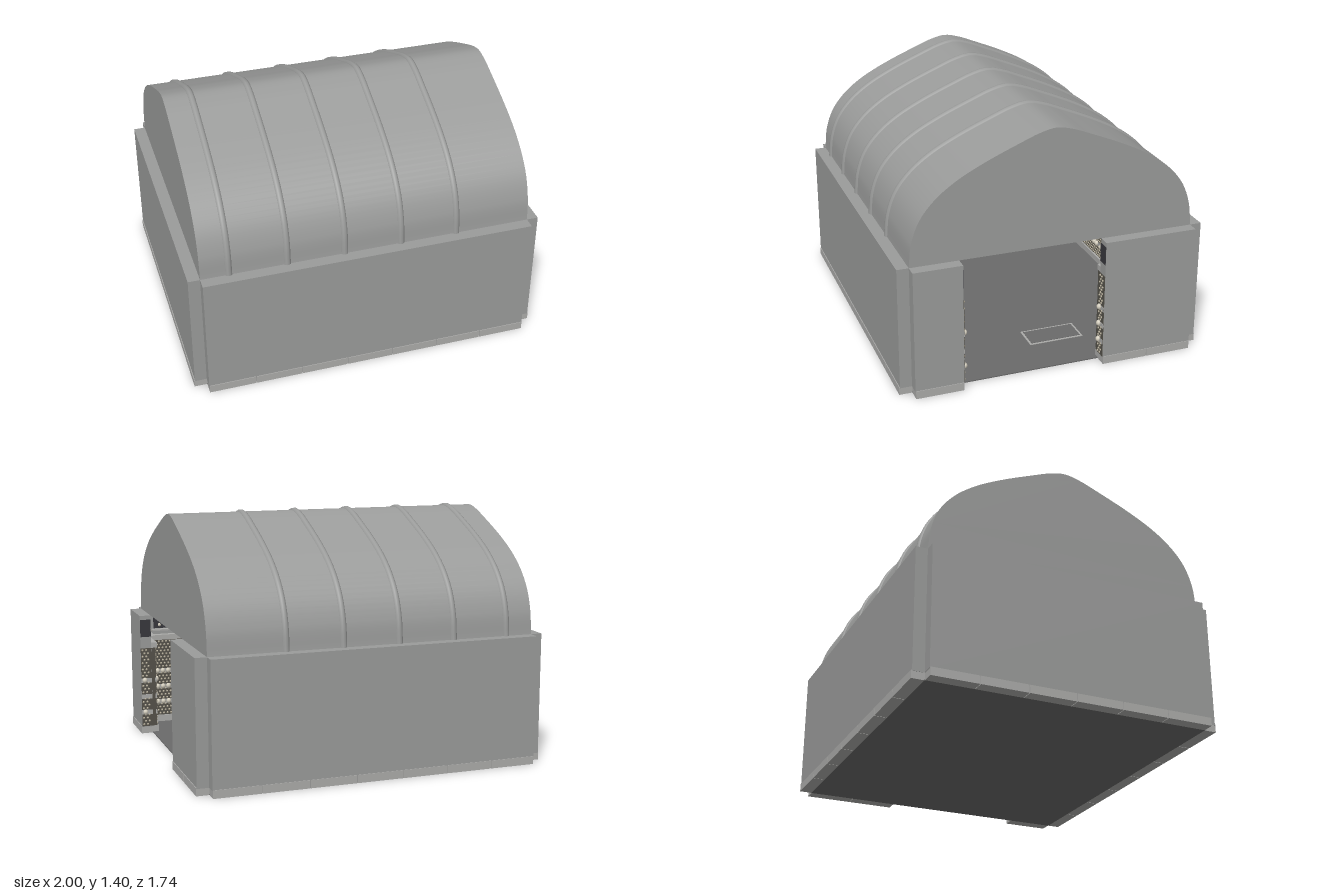
import * as THREE from 'three';
import { mergeGeometries } from 'three/addons/utils/BufferGeometryUtils.js';
import { ParametricGeometry } from 'three/addons/geometries/ParametricGeometry.js';

const mat = (color, side = THREE.FrontSide) => new THREE.MeshStandardMaterial({ color, side });
const GREY = mat(0x9b9c9b), SHEET = mat(0x9b9c9b, THREE.DoubleSide), STONE = mat(0xacacaa);
const FLOOR = mat(0x6a6a6a), PANEL = mat(0x55524a), NICHE = mat(0x38383d);
const BONE = mat(0xb8b09c), SKULL = mat(0xd8d2c2);

const L = 0.93, W = 0.8, T = 0.066, H = 0.73; // half length, half width, wall thickness, wall height
const DOOR = [-0.27, 0.53];

let seed = 7;
const rand = () => (seed = (seed * 16807) % 2147483647) / 2147483647;

function add(parent, name, geometry, material, x = 0, y = 0, z = 0) {
  const mesh = new THREE.Mesh(geometry, material);
  mesh.name = name;
  mesh.position.set(x, y, z);
  parent.add(mesh);
  return mesh;
}

// Box given by its limits on each axis
function slab(parent, name, material, [x0, x1], [y0, y1], [z0, z1]) {
  return add(parent, name, new THREE.BoxGeometry(x1 - x0, y1 - y0, z1 - z0), material,
    (x0 + x1) / 2, (y0 + y1) / 2, (z0 + z1) / 2);
}

function place(parent, group, name, x, z, turn) {
  group.name = name;
  group.position.set(x, 0, z);
  group.rotation.y = turn;
  parent.add(group);
}

// Vault cross-section, from +z over the ridge to -z
function vaultCurve(scaleZ = 1, drop = 0) {
  const half = [[0.8, H], [0.785, 0.86], [0.74, 0.98], [0.66, 1.08], [0.55, 1.165], [0.4, 1.245], [0.2, 1.33], [0.09, 1.372]];
  const pts = [...half, [0, 1.39], ...half.slice().reverse().map(([z, y]) => [-z, y])];
  return new THREE.CatmullRomCurve3(pts.map(([z, y]) => new THREE.Vector3(0, y - drop, z * scaleZ)), false, 'centripetal');
}

// Panel of bone ends and skulls, facing +z between u0 and u1
function boneFacing(u0, u1, rosetteAt, nicheAt) {
  const g = new THREE.Group();
  slab(g, 'bonePanel', PANEL, [u0, u1], [0.045, 0.53], [0, 0.026]);

  const bones = [], skulls = [];
  const bone = new THREE.SphereGeometry(0.0075, 5, 2, 0, Math.PI * 2, 0, Math.PI / 2).rotateX(Math.PI / 2);
  const skull = new THREE.SphereGeometry(1, 7, 5);
  const addSkull = (u, y, r = 0.0155, z = 0.032) => {
    if (u > u0 + r && u < u1 - r) skulls.push(skull.clone().scale(r, r * 1.1, r).translate(u, y, z));
  };

  // Staggered rows of bone ends, leaving room around the rosettes
  for (const [y0, rows] of [[0.058, 4], [0.158, 4], [0.258, 4], [0.36, 9]]) {
    for (let r = 0; r < rows; r++) {
      const y = y0 + r * 0.0198;
      for (let u = u0 + 0.01 + (r % 2) * 0.0115; u < u1 - 0.008; u += 0.023) {
        if (y0 > 0.3 && rosetteAt.some((c) => Math.abs(u - c) < 0.095)) continue;
        bones.push(bone.clone().translate(u, y, 0.026));
      }
    }
  }

  // Rows of skulls on pale strips, with a few missing
  for (const y of [0.135, 0.233, 0.333]) {
    slab(g, 'skullShelf', STONE, [u0, u1], [y - 0.016, y + 0.012], [0.02, 0.028]);
    for (let u = u0 + 0.02; u < u1; u += 0.034) if (rand() > 0.16) addSkull(u, y);
  }

  // Rosettes of skulls
  for (const c of rosetteAt) {
    addSkull(c, 0.44, 0.0125);
    for (let i = 0; i < 8; i++) {
      const a = (i * Math.PI) / 4;
      addSkull(c + Math.cos(a) * 0.055, 0.44 + Math.sin(a) * 0.055, 0.0115);
    }
  }

  // Dark niches with a sill and three skulls each
  for (const c of nicheAt) {
    slab(g, 'niche', NICHE, [c - 0.08, c + 0.08], [0.6, 0.705], [0, 0.004]);
    slab(g, 'nicheSill', STONE, [c - 0.093, c + 0.093], [0.588, 0.597], [0, 0.036]);
    for (const d of [-0.045, 0, 0.045]) addSkull(c + d, 0.623, 0.01, 0.014);
  }
  add(g, 'boneEnds', mergeGeometries(bones), BONE);
  if (skulls.length) add(g, 'skulls', mergeGeometries(skulls), SKULL);
  return g;
}

// One wall length: wall, plinth stones, cornice and bone facing; inside is +z
function wallLength(u0, u1, stones, nicheAt, rosetteAt) {
  const g = boneFacing(u0, u1, rosetteAt, nicheAt);
  slab(g, 'wall', GREY, [u0, u1], [0.04, H], [-T, 0]);
  slab(g, 'cornice', STONE, [u0, u1], [0.53, 0.562], [0, 0.036]);
  const step = (u1 - u0) / stones;
  for (let i = 0; i < stones; i++) {
    const span = [u0 + i * step + 0.002, u0 + (i + 1) * step - 0.002];
    slab(g, 'plinthStone', STONE, span, [0, 0.045], [-T - 0.004, 0]);
    slab(g, 'innerCurb', STONE, span, [0.005, 0.046], [0, 0.036]);
  }
  return g;
}

export function createModel() {
  const model = new THREE.Group();
  model.name = 'ossuaryChapel';

  // Floor with a framed grave slab
  slab(model, 'floor', FLOOR, [-L, L], [0, 0.006], [-W, W]);
  slab(model, 'graveFrame', STONE, [0.52, 0.68], [0.006, 0.009], [-0.29, 0.03]);
  slab(model, 'graveSlab', FLOOR, [0.532, 0.668], [0.009, 0.011], [-0.278, 0.018]);

  // Long walls
  const longNiches = [-2.5, -1.5, -0.5, 0.5, 1.5, 2.5].map((i) => i * 0.31);
  for (const [name, z, turn] of [['backWall', -W, 0], ['frontWall', W, Math.PI]]) {
    place(model, wallLength(-L, L, 7, longNiches, [-0.53, 0, 0.53]), name, 0, z, turn);
  }

  // End walls; the left end is split by the doorway
  const ends = [
    ['rightEndWall', -L, Math.PI / 2, -W, W, 6, [-0.475, -0.16, 0.16, 0.475], [-0.53, 0, 0.53]],
    ['doorWallBack', L, -Math.PI / 2, -W, DOOR[0], 2, [-0.475], [-0.53]],
    ['doorWallFront', L, -Math.PI / 2, DOOR[1], W, 1, [0.66], []],
  ];
  for (const [name, x, turn, u0, u1, stones, niches, rosettes] of ends) {
    place(model, wallLength(u0, u1, stones, niches, rosettes), name, x, 0, turn);
  }

  // Bone facing sunk into both door jambs, with a dark recess above
  for (const [z, dir, turn] of [[DOOR[0], 1, 0], [DOOR[1], -1, Math.PI]]) {
    const jamb = boneFacing(-0.032, 0.032, [], []);
    slab(jamb, 'jambRecess', NICHE, [-0.032, 0.032], [0.6, 0.705], [0, 0.026]);
    place(model, jamb, 'doorJamb', L + T / 2, z - dir * 0.023, turn);
  }

  // Vaulted roof
  const curve = vaultCurve();
  const roof = new ParametricGeometry((u, v, p) => {
    curve.getPoint(u, p);
    p.x = (v * 2 - 1) * L;
  }, 64, 1);
  add(model, 'vaultRoof', roof, SHEET);

  // Gables
  const outline = curve.getPoints(64).map((p) => new THREE.Vector2(-p.z, p.y));
  for (const s of [-1, 1]) {
    add(model, 'gable', new THREE.ShapeGeometry(new THREE.Shape(outline)), SHEET, s * L).rotation.y = Math.PI / 2;
  }

  // Round ribs, showing inside and out
  const rib = new THREE.TubeGeometry(vaultCurve(0.99, 0.008), 56, 0.021, 10);
  for (let i = 0; i < 5; i++) add(model, 'vaultRib', rib, GREY, -0.775 + i * 0.32);

  return model;
}
